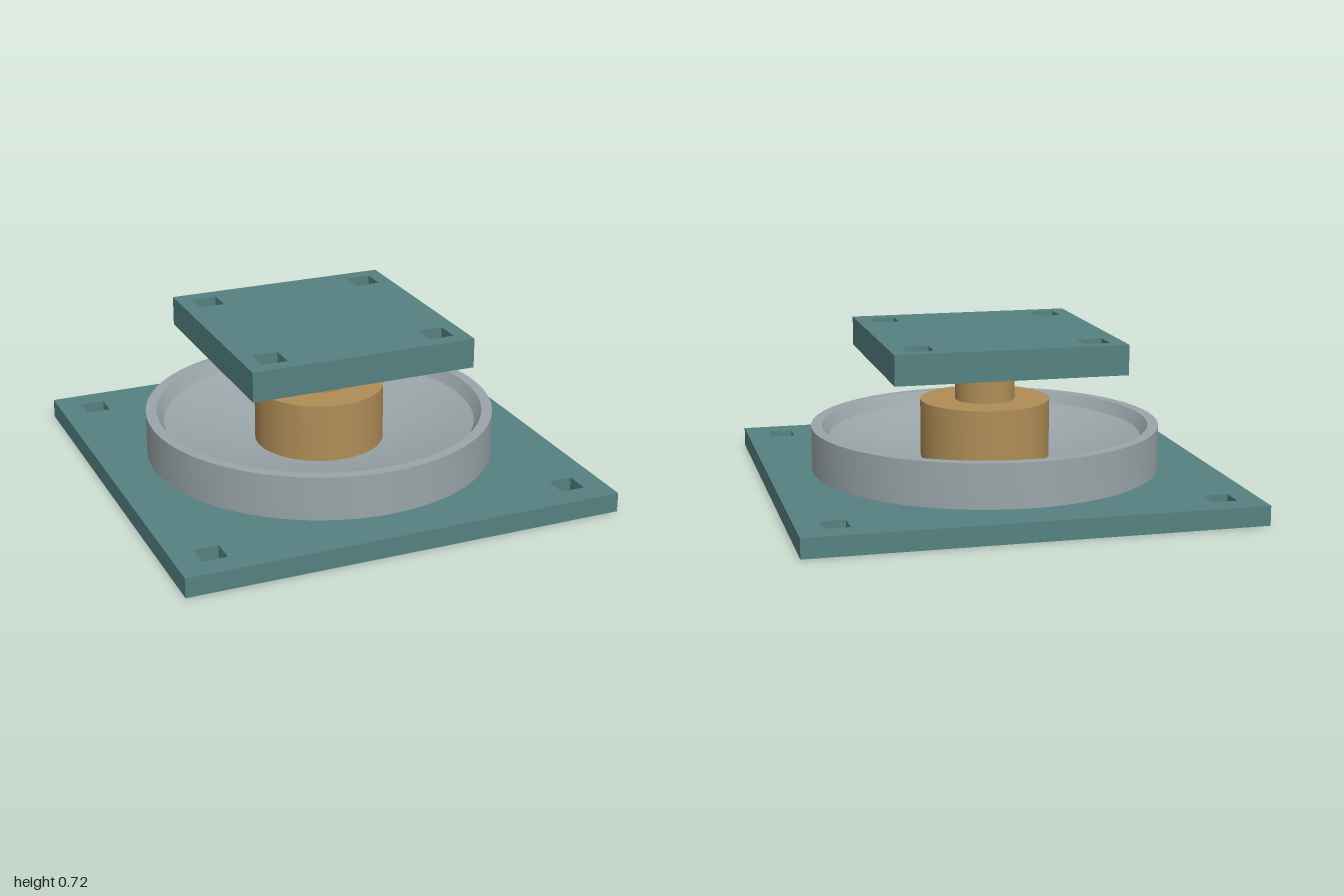
import * as THREE from 'three';
import { toCreasedNormals } from 'three/addons/utils/BufferGeometryUtils.js';

function material(name, color) {
  const m = new THREE.MeshStandardMaterial({ color });
  m.name = name;
  return m;
}

// Square plate with a square bolt hole near each corner
function plate(half, y0, y1, holeOffset, holeHalf) {
  const square = (path, cx, cy, h) => {
    path.moveTo(cx - h, cy - h);
    path.lineTo(cx + h, cy - h);
    path.lineTo(cx + h, cy + h);
    path.lineTo(cx - h, cy + h);
    path.closePath();
    return path;
  };
  const shape = square(new THREE.Shape(), 0, 0, half);
  for (const sx of [-1, 1]) {
    for (const sz of [-1, 1]) {
      shape.holes.push(square(new THREE.Path(), sx * holeOffset, sz * holeOffset, holeHalf));
    }
  }
  const geo = new THREE.ExtrudeGeometry(shape, { depth: y1 - y0, bevelEnabled: false });
  return geo.rotateX(-Math.PI / 2).translate(0, y0, 0);
}

// Turned part from a profile of [radius, height] pairs, with sharp edges kept
function turned(profile) {
  const points = profile.map(([r, y]) => new THREE.Vector2(r, y));
  return toCreasedNormals(new THREE.LatheGeometry(points, 64), 0.5);
}

export function createModel() {
  const teal = material('painted teal', 0x568181);
  const steel = material('steel grey', 0x9aa5a9);
  const bronze = material('bronze', 0xb08d57);

  const group = new THREE.Group();
  group.name = 'slidingBearing';
  const add = (name, geometry, mat) => {
    const mesh = new THREE.Mesh(geometry, mat);
    mesh.name = name;
    group.add(mesh);
  };

  add('basePlate', plate(1, 0, 0.088, 0.835, 0.056), teal);
  add('topPlate', plate(0.52, 0.58, 0.715, 0.393, 0.059), teal);

  // Ring with a chamfered lip and a shallow concave dish
  const dish = [[0, 0.088], [0.797, 0.088], [0.797, 0.288], [0.748, 0.288]];
  for (let i = 12; i >= 0; i--) {
    const r = (0.715 * i) / 12;
    dish.push([r, 0.115 + 0.235 * r * r]);
  }
  add('concaveDish', turned(dish), steel);

  // Stepped slider: wide foot and narrow neck
  add('slider', turned([
    [0, 0.12], [0.296, 0.12], [0.296, 0.4], [0.137, 0.4], [0.137, 0.58], [0, 0.58],
  ]), bronze);

  return group;
}
